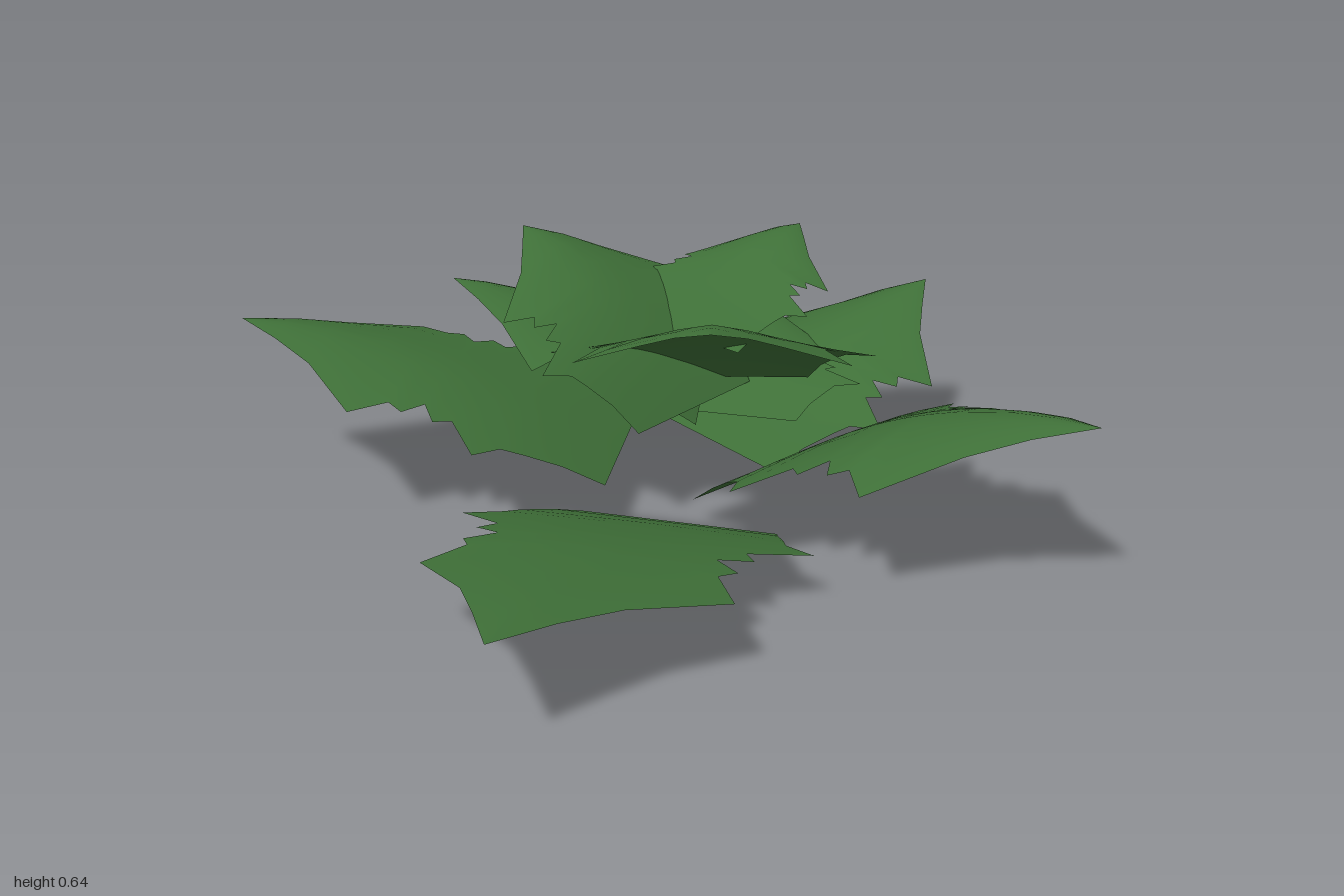
import * as THREE from 'three';

// Half outline of a serrated leaf: [distance from base to tip, half width]
const OUTLINE = [
  [0, 0.25], [0.1, 0.28], [0.19, 0.32], [0.24, 0.34], [0.29, 0.418], [0.37, 0.29], [0.41, 0.32],
  [0.447, 0.25], [0.49, 0.31], [0.53, 0.28], [0.615, 0.344], [0.765, 0.172], [0.88, 0.086], [1, 0],
];
const COLUMNS = 8;

// A curved leaf blade running from base to tip, arched along and folded down at the edges
function leafGeometry(base, tip, widthScale, arch, droop) {
  const from = new THREE.Vector3(...base);
  const to = new THREE.Vector3(...tip);
  const side = new THREE.Vector3(to.z - from.z, 0, from.x - to.x).normalize();
  const positions = [];
  const indices = [];
  for (const [t, halfWidth] of OUTLINE) {
    for (let i = 0; i <= COLUMNS; i++) {
      const across = ((i / COLUMNS) * 2 - 1) * halfWidth;
      const p = from.clone().lerp(to, t).addScaledVector(side, across * widthScale);
      p.y += 4 * arch * t * (1 - t);
      p.y -= droop * t * t * (Math.abs(across) / 0.34) ** 1.5;
      positions.push(p.x, p.y, p.z);
    }
  }
  const stride = COLUMNS + 1;
  for (let r = 0; r < OUTLINE.length - 1; r++) {
    for (let i = 0; i < COLUMNS; i++) {
      const a = r * stride + i;
      const b = a + stride;
      indices.push(a, a + 1, b);
      // the last row closes to a single point
      if (r < OUTLINE.length - 2) indices.push(a + 1, b + 1, b);
    }
  }
  const geometry = new THREE.BufferGeometry();
  geometry.setAttribute('position', new THREE.Float32BufferAttribute(positions, 3));
  geometry.setIndex(indices);
  geometry.computeVertexNormals();
  return geometry;
}

export function createModel() {
  const group = new THREE.Group();
  group.name = 'leafCluster';
  const green = new THREE.MeshStandardMaterial({ color: 0x3f7038, side: THREE.DoubleSide });
  green.name = 'leafGreen';

  // name, base, tip, width scale, arch, edge droop
  const leaves = [
    // lowest ring
    ['lowerLeafFrontRight', [0.02, 0, -0.02], [-1, 0.26, 0.635], 1, 0.07, 0.14],
    ['lowerLeafFront', [0.28, 0.07, 0], [0.36, 0.44, 0.955], 1, 0.09, 0.28],
    ['lowerLeafLeft', [0.3, 0.09, -0.2], [1, 0.42, -0.12], 1, 0.065, 0.25],
    ['lowerLeafBack', [0.02, 0.13, -0.24], [-0.63, 0.435, -0.96], 1, 0.07, 0.16],
    // middle ring
    ['middleLeafBack', [0.27, 0.22, -0.22], [-0.18, 0.52, -0.67], 0.88, 0.06, 0.22],
    ['middleLeafLeft', [0.25, 0.2, -0.13], [0.67, 0.34, -0.4], 0.8, 0.05, 0.15],
    // top ring
    ['upperLeafBack', [0.13, 0.26, -0.08], [0, 0.64, -0.61], 0.95, 0.085, 0.2],
    ['upperLeafFront', [0.26, 0.29, -0.16], [-0.13, 0.58, 0.265], 0.95, 0.07, 0.25],
    ['upperLeafLeft', [0.18, 0.41, -0.17], [0.57, 0.635, -0.18], 0.72, 0.065, 0.2],
  ];
  for (const [name, ...shape] of leaves) {
    const leaf = new THREE.Mesh(leafGeometry(...shape), green);
    leaf.name = name;
    group.add(leaf);
  }
  return group;
}
